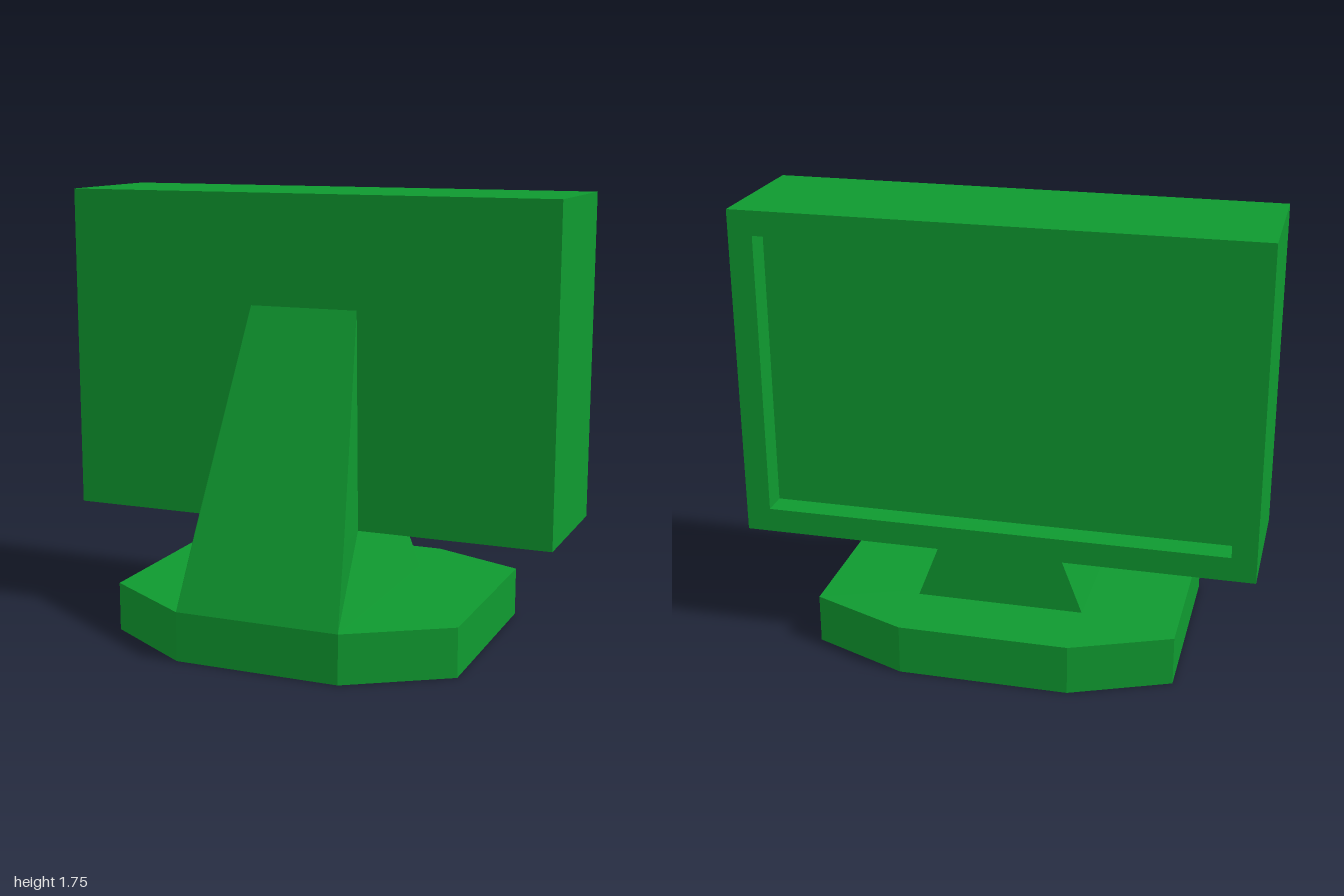
import * as THREE from 'three';

const material = new THREE.MeshStandardMaterial({ color: 0x0f9a30, flatShading: true });
const thinMaterial = new THREE.MeshStandardMaterial({ color: 0x0f9a30, flatShading: true, side: THREE.DoubleSide });

function addMesh(group, name, geometry, mat = material) {
  const mesh = new THREE.Mesh(geometry, mat);
  mesh.name = name;
  group.add(mesh);
  return mesh;
}

// Straight extrusion of an outline with one hole
function frame(outline, hole, depth) {
  const shape = new THREE.Shape(outline);
  shape.holes.push(new THREE.Path(hole));
  return new THREE.ExtrudeGeometry(shape, { depth, bevelEnabled: false });
}

const rect = (x0, x1, y0, y1) => [[x0, y0], [x1, y0], [x1, y1], [x0, y1]].map(p => new THREE.Vector2(...p));

// Octagonal outline of the foot, stored as (x, -z)
function footOutline(inset) {
  const a = 0.33 - inset * 0.4, b = 0.71 - inset;
  return [[a, -0.6 + inset], [b, -0.36 + inset * 0.6], [b, 0.44 - inset * 0.6], [a, 0.6 - inset],
    [-a, 0.6 - inset], [-b, 0.44 - inset * 0.6], [-b, -0.36 + inset * 0.6], [-a, -0.6 + inset]]
    .map(p => new THREE.Vector2(...p));
}

// Fan-triangulated flat panels
function panels(polygons) {
  const positions = [];
  for (const p of polygons)
    for (let i = 1; i < p.length - 1; i++) positions.push(...p[0], ...p[i], ...p[i + 1]);
  const geometry = new THREE.BufferGeometry();
  geometry.setAttribute('position', new THREE.Float32BufferAttribute(positions, 3));
  geometry.computeVertexNormals();
  return geometry;
}

// Tapered stand: sloping front, leaning sides and a short neck below the screen
function standGeometry() {
  const f0 = [0.33, 0.195, 0.6], f1 = [0.303, 0.5, 0.474], top = [0.22, 1.315, 0.14];
  const g0 = [0.33, 0.195, 0.23], g1 = [0.23, 0.455, 0.14];
  const b0 = [0.33, 0.195, -0.325], b1 = [0.23, 0.455, -0.325];
  const flip = ([x, y, z]) => [-x, y, z];
  const side = [[g0, b0, b1, g1], [f0, g0, g1, f1], [f1, g1, top]];
  const mirrored = side.map(p => p.map(flip).reverse());
  const front = [flip(f0), f0, f1, top, flip(top), flip(f1)];
  const back = [b0, flip(b0), flip(b1), b1];
  return panels([...side, ...mirrored, front, back]);
}

export function createModel() {
  const group = new THREE.Group();
  group.name = 'monitor';

  // Screen housing: solid rear block, with a bezel around the sunken screen at -z
  const housing = new THREE.Group();
  housing.name = 'housing';
  group.add(housing);
  addMesh(housing, 'housingBody', new THREE.BoxGeometry(2, 1.295, 0.46)).position.set(0, 1.1025, -0.09);
  addMesh(housing, 'bezel', frame(rect(-1, 1, 0.455, 1.75), rect(-0.905, 0.905, 0.55, 1.655), 0.1))
    .position.z = -0.42;

  // Foot: hollow rim below, plate with an opening into the stand above
  const foot = new THREE.Group();
  foot.name = 'foot';
  group.add(foot);
  const rim = frame(footOutline(0), footOutline(0.08), 0.1).rotateX(-Math.PI / 2);
  addMesh(foot, 'footRim', rim);
  const plate = frame(footOutline(0), rect(-0.28, 0.28, -0.548, 0.266), 0.095).rotateX(-Math.PI / 2);
  addMesh(foot, 'footPlate', plate).position.y = 0.1;

  // Stand and its hollow inside, open to the underside of the foot
  addMesh(group, 'stand', standGeometry(), thinMaterial);
  const cavity = standGeometry();
  cavity.translate(0, -0.195, 0).scale(0.85, 0.95, 0.88).translate(0, 0.1, 0.02);
  addMesh(group, 'standCavity', cavity, thinMaterial);

  return group;
}
